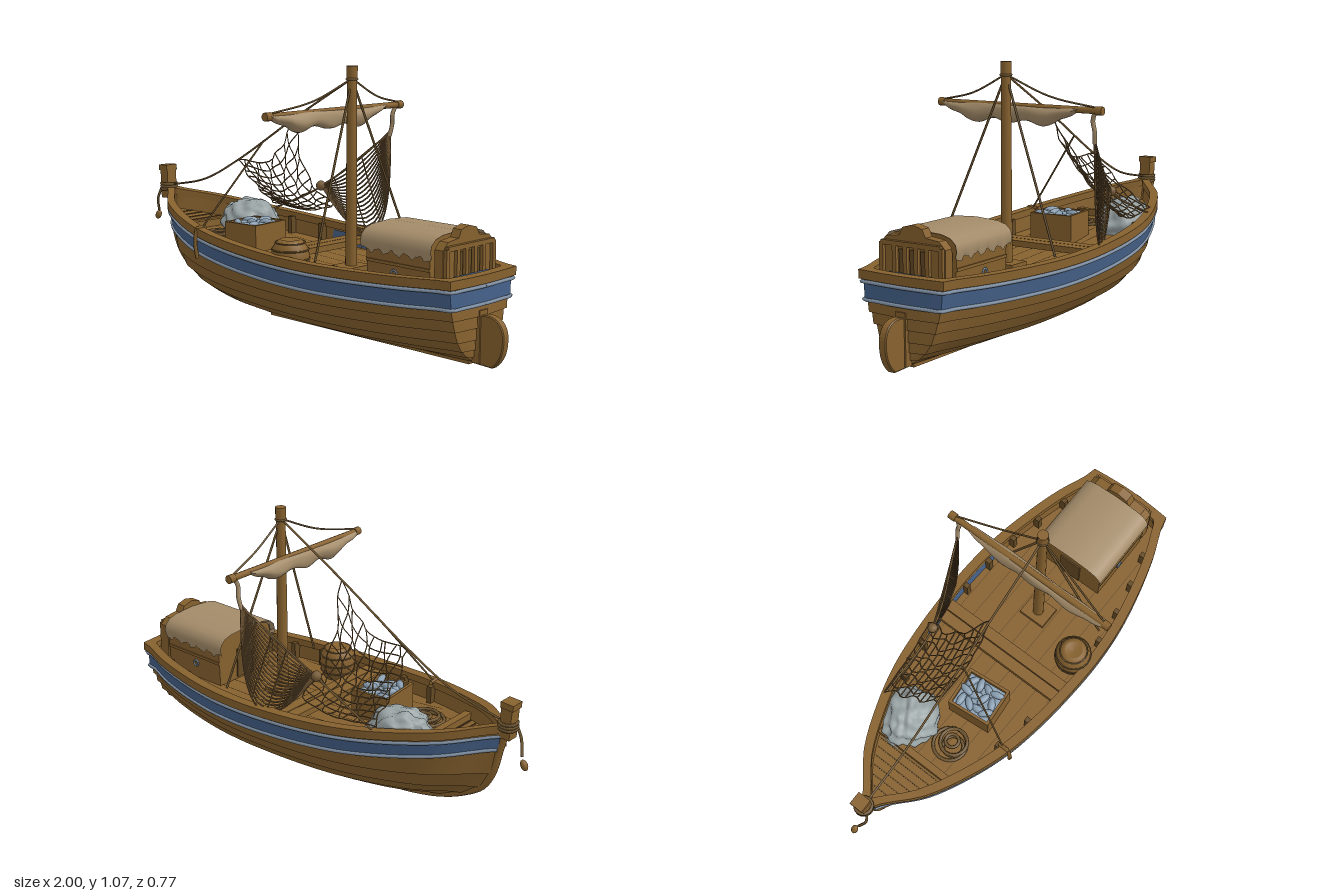
import * as THREE from 'three';
import { toCreasedNormals, mergeGeometries } from 'three/addons/utils/BufferGeometryUtils.js';

const V = (x, y, z) => new THREE.Vector3(x, y, z);
const mat = (name, color) => {
  const m = new THREE.MeshStandardMaterial({ color, side: THREE.DoubleSide });
  m.name = name;
  return m;
};

export function createModel() {
  const wood = mat('wood', 0x86612e), dark = mat('dark wood', 0x644a24);
  const blue = mat('blue paint', 0x446088), pale = mat('pale trim', 0x8394a8);
  const canvas = mat('canvas', 0xa38b69), grey = mat('grey net', 0x99a3a4);
  const fishMat = mat('fish', 0x8a9fb2), rope = mat('rope', 0x6e5530), cord = mat('net cord', 0x795d39);
  const boat = new THREE.Group();
  boat.name = 'fishingBoat';

  const add = (name, geo, m, x = 0, y = 0, z = 0, parent = boat) => {
    const mesh = new THREE.Mesh(geo, m);
    mesh.name = name;
    mesh.position.set(x, y, z);
    parent.add(mesh);
    return mesh;
  };
  const box = (name, m, w, h, d, x, y, z, parent) => add(name, new THREE.BoxGeometry(w, h, d), m, x, y, z, parent);
  const tubeGeo = (pts, r, seg = 12, sides = 5) => new THREE.TubeGeometry(new THREE.CatmullRomCurve3(pts), seg, r, sides);
  const tube = (name, m, pts, r, seg, sides) => add(name, tubeGeo(pts, r, seg, sides), m);
  // Surface through a list of equally long point paths
  const loft = (paths, crease = 0.5) => {
    const n = paths[0].length, idx = [];
    for (let i = 0; i < paths.length - 1; i++) for (let j = 0; j < n - 1; j++) {
      const a = i * n + j, b = a + n;
      idx.push(a, a + 1, b, b, a + 1, b + 1);
    }
    const g = new THREE.BufferGeometry().setFromPoints(paths.flat());
    g.setIndex(idx);
    return toCreasedNormals(g, crease);
  };

  // Plank edges: mid height, mid half width, stem x, stem y
  const rows = [[.014, .025, -.2, .014], [.034, .1, -.45, .04], [.062, .175, -.62, .08], [.1, .235, -.72, .125],
    [.145, .275, -.8, .18], [.188, .302, -.845, .255], [.23, .325, -.872, .365], [.3, .34, -.89, .43], [.333, .342, -.9, .47]];
  const fullness = new THREE.SplineCurve([.03, .43, .68, .85, .94, .985, 1, .965, .87, .73, .54].map((w, i) => new THREE.Vector2(i, w)));
  // Point on the hull; u 0..1 runs bow to stern, 1..2 wraps round the transom
  const P = (r, u, s = 1, inset = 0, dy = 0) => {
    const i = Math.min(Math.floor(r), 7), f = r - i;
    const [ym, w, sx, sy] = rows[i].map((v, k) => v + (rows[i + 1][k] - v) * f);
    const c = Math.min(u, 1), k = Math.max(u - 1, 0);
    const x = sx + (0.855 + r * 0.0042 - sx) * c + 0.012 * Math.sin(k * Math.PI / 2);
    const y = ym + (sy - ym) * (1 - c) ** 3 + 0.003 * (r / 8) * c ** 4;
    const taper = 1 - 0.2 * (1 - r / 8) * c ** 6;
    const z = Math.max(w * taper * fullness.getPoint(c).y - inset, 0) * (1 - k);
    return V(x - (u >= 1 ? inset : 0), y + dy, s * z);
  };
  const us = [...Array.from({ length: 41 }, (_, i) => i / 40), 1.35, 1.7, 2];
  const line = (r, s, inset, dy) => us.map(u => P(r, u, s, inset, dy));
  const railY = x => P(8, (x + .9) / 1.8).y;
  const deckY = x => railY(x) - 0.08;
  const halfW = x => P(8, (x + .9) / 1.8).z;

  for (const s of [1, -1]) {
    // Overlapping planks, each stepping out over the one below
    for (let r = 0; r < 8; r++)
      add(r === 6 ? 'blueStripe' : 'hullPlank', loft([line(r, s, 0.004), line(r, s, -0.008), line(r + 1, s, 0)]), r === 6 ? blue : wood);
    for (const [r, inset] of [[6.05, -.009], [7, -.007]]) add('stripeTrim', tubeGeo(line(r, s, inset), 0.007, 90), pale);
    // Gunwale cap, inner lining and deck
    const cap = [[-.009, -.024], [-.009, .01], [.032, .01], [.032, -.02]].map(([i, d]) => line(8, s, i, d));
    add('gunwale', loft([...cap, cap[0]], 0.4), wood);
    add('innerLining', loft([line(8, s, .022), line(8, s, .03, -.085)]), wood);
    const edge = us.slice(1).map(u => P(8, u, s, .022, -.08));
    add('deck', loft([edge, edge.map(p => V(p.x, p.y, 0))]), wood);
    // Ribs against the bulwark
    for (const x of [-.36, -.2, .12, .27, .42, .56, .7])
      box('rib', dark, .022, .075, .03, x, railY(x) - .045, s * (halfW(x) - .04));
  }
  const inner = Array.from({ length: 12 }, (_, i) => .42 + i * .025);
  add('innerBluePanel', loft([inner.map(u => P(8, u, -1, .03, -.025)), inner.map(u => P(8, u, -1, .034, -.075))]), blue);
  box('sternBluePanel', blue, .026, .008, .2, .848, .335, 0);

  // Deck seams
  for (let k = -4; k <= 4; k++) {
    const xs = Array.from({ length: 60 }, (_, i) => -.6 + i * .025).filter(x => x < .84 && halfW(x) - .05 > Math.abs(k * .07));
    add('deckSeam', loft([-.0015, .0015].map(d => xs.map(x => V(x, deckY(x) + .003, k * .07 + d)))), dark);
  }
  for (let x = -.8; x < -.6; x += .035) box('foredeckSeam', dark, .004, .004, 2 * halfW(x) - .07, x, deckY(x) + .002, 0);
  box('foredeckBeam', wood, .03, .03, 2 * halfW(-.6) - .06, -.6, deckY(-.6) + .015, 0);
  for (const x of [-.04, .012]) box('thwart', wood, .048, .025, 2 * halfW(x) - .05, x, .31, 0);

  // Keel, stem and rudder
  box('keel', wood, 1.06, .024, .04, .32, .013, 0);
  tube('stem', wood, rows.map(r => V(r[2], Math.max(r[3], .018), 0)), .017, 40, 8);
  box('stemPost', wood, .048, .14, .05, -.905, .495, 0).rotation.z = .05;
  box('stemPostCap', wood, .056, .025, .058, -.91, .562, 0).rotation.z = .05;
  for (let i = 0; i < 3; i++) add('stemLashing', new THREE.TorusGeometry(.034, .007, 5, 14), rope, -.903, .465 + i * .012, 0).rotation.x = Math.PI / 2;
  tube('hangingLine', rope, [V(-.92, .47, .03), V(-.94, .42, .035), V(-.965, .36, .01)], .006);
  const float = add('lineFloat', new THREE.SphereGeometry(.014, 10, 8), wood, -.982, .335, 0);
  float.scale.set(1, 1.6, 1);
  float.rotation.z = -.5;
  const blade = new THREE.Shape();
  blade.moveTo(.86, .012);
  blade.lineTo(.95, .008);
  blade.bezierCurveTo(.99, .04, 1, .08, .998, .13);
  blade.bezierCurveTo(.99, .19, .94, .2, .9, .19);
  blade.lineTo(.86, .19);
  add('rudder', new THREE.ExtrudeGeometry(blade, { depth: .026, bevelSize: .004, bevelThickness: .004, bevelSegments: 1 }), wood, 0, 0, -.013);
  box('rudderPost', wood, .035, .2, .046, .882, .112, 0);

  // Mast and yard
  add('mast', new THREE.CylinderGeometry(.019, .024, .8, 14), wood, .235, .655, 0);
  add('mastHead', new THREE.CylinderGeometry(.022, .022, .05, 14), wood, .235, 1.045, 0);
  box('mastStep', wood, .1, .03, .12, .235, .265, 0);
  add('mastBand', new THREE.TorusGeometry(.021, .005, 5, 14), rope, .235, 1.018, 0).rotation.x = Math.PI / 2;
  const yard = add('yard', new THREE.CylinderGeometry(.013, .013, .77, 10), wood, .15, .89, 0);
  yard.rotation.x = Math.PI / 2;
  for (const s of [1, -1]) {
    add('yardEnd', new THREE.CylinderGeometry(.017, .017, .03, 10), wood, .15, .89, s * .372).rotation.x = Math.PI / 2;
  }

  // Furled sail, bulging between its ties
  const sail = Array.from({ length: 57 }, (_, i) => {
    const t = i / 56, z = .37 - t * .65;
    const env = Math.min(1, Math.sin(t * Math.PI) ** .8 * 1.5 + .08);
    const h = env * (.035 + .0055 * Math.cos(t * Math.PI * 8) + .0015 * Math.sin(t * 23));
    return Array.from({ length: 15 }, (_, j) => {
      const a = j / 14 * Math.PI * 2, fold = 1 + .08 * Math.sin(a * 4 + t * 9);
      return V(.15 + Math.cos(a) * (.014 + h * .42) * fold, .897 - h + Math.sin(a) * h * fold, z);
    });
  });
  add('furledSail', loft(sail, 1), canvas);
  tube('sailTail', canvas, [V(.15, .88, -.35), V(.145, .85, -.34), V(.14, .81, -.345), V(.13, .76, -.34)], .009, 12, 7);

  // Rigging
  const top = V(.235, 1.02, 0), bow = V(-.88, .485, 0);
  tube('forestay', rope, [top, V(-.09, .84, 0), V(-.43, .64, 0), V(-.65, .535, 0), bow], .0045, 30);
  for (const s of [1, -1]) {
    tube('shroud', rope, [top, V(.3, .34, s * .27)], .005, 4);
    tube('yardLift', rope, [top, V(.2, .94, s * .18), V(.15, .9, s * .37)], .004);
  }
  tube('sideStay', rope, [V(-.27, .735, 0), V(-.36, .38, .275)], .004, 4);
  tube('netHaulLine', rope, [V(.13, .77, -.34), V(-.16, .53, -.24), V(-.46, .4, -.25)], .0045);
  tube('fenderLine', wood, [V(-.36, .385, .25), V(-.36, .39, .29), V(-.36, .33, .305), V(-.355, .265, .3)], .009);

  // Hanging net: a mesh of thin cords over a patch
  const net = (name, f, nu, nv, r) => {
    const cords = [], pts = (n, g) => Array.from({ length: n + 1 }, (_, i) => g(i / n));
    for (let i = 0; i <= nu; i++) cords.push(tubeGeo(pts(10, v => f(i / nu, v)), r, 18, 4));
    for (let j = 0; j <= nv; j++) cords.push(tubeGeo(pts(10, u => f(u, j / nv)), r, 18, 4));
    add(name, mergeGeometries(cords), cord);
  };
  const A = V(-.43, .64, 0), B = V(-.09, .84, 0), C = V(-.47, .42, -.25), D = V(-.13, .45, -.29);
  net('foreNet', (u, v) => {
    const p = A.clone().lerp(B, u).lerp(C.clone().lerp(D, u), v);
    p.y -= .09 * Math.sin(v * Math.PI) * (.2 + u * .6) + .1 * Math.sin(u ** 1.3 * Math.PI) * (1 - v * .7);
    p.x += .012 * Math.sin(u * 25 + v * 17) - .04 * Math.sin(v * Math.PI) * u;
    return p;
  }, 10, 10, .0028);
  const G = V(-.17, .53, -.24), E = V(.132, .78, -.34);
  net('aftNet', (u, v) => {
    const c = V(-.02, .62, -.29).lerp(V(.15, .04, -.36), v);
    return new THREE.QuadraticBezierCurve3(G, c, E).getPoint(u);
  }, 5, 17, .0036);
  add('netKnot', new THREE.SphereGeometry(.022, 8, 6), cord, G.x, G.y, G.z);

  // Cabin with canvas cover
  const arch = (x, grow, hem) => {
    const half = [[.15, hem], [.156, .425], [.15, .45], [.128, .47], [.09, .481], [0, .487]];
    const pts = [...half, ...half.slice(0, 5).reverse().map(([z, y]) => [-z, y])];
    return pts.map(([z, y]) => V(x, y + grow * .4, z + Math.sign(z) * grow));
  };
  const gable = new THREE.Shape(arch(0, 0, .25).map(p => new THREE.Vector2(-p.z, p.y)));
  const cabin = add('cabin', new THREE.ExtrudeGeometry(gable, { depth: .31, bevelEnabled: false }), wood, .46, 0, 0);
  cabin.rotation.y = Math.PI / 2;
  const cover = Array.from({ length: 37 }, (_, i) =>
    arch(.437 + i * .0096, .01, .395 + .009 * Math.sin(i * .9) + .004 * Math.sin(i * 2.1)));
  add('canvasCover', loft(cover, 1), canvas);
  const front = arch(.438, .01, .41);
  add('canvasFrontFold', loft([front, front.map(p => V(.458, p.y - .012, p.z * .96))]), canvas);
  box('cabinDoor', dark, .006, .13, .1, .457, .33, 0);
  for (const s of [1, -1]) {
    box('cabinSill', wood, .31, .012, .008, .615, .36, s * .155);
    add('cabinRing', new THREE.TorusGeometry(.013, .004, 5, 12), pale, .6, .325, s * .158);
  }

  // Arched backboard with uprights
  const back = new THREE.Shape();
  back.moveTo(-.148, .26);
  for (const [z, y] of [[-.148, .44], [-.12, .468], [-.06, .475], [-.045, .505], [0, .517], [.045, .505], [.06, .475], [.12, .468], [.148, .44], [.148, .26]]) back.lineTo(z, y);
  add('backboard', new THREE.ExtrudeGeometry(back, { depth: .04, bevelEnabled: false }), wood, .785, 0, 0).rotation.y = Math.PI / 2;
  for (const z of [-.135, -.075, -.025, .025, .075, .135]) box('backboardUpright', wood, .014, .18, .018, .832, .355, z);
  box('backboardRail', wood, .016, .018, .27, .832, .445, 0);
  for (const z of [-.05, 0, .05]) box('backboardGap', dark, .006, .15, .018, .827, .35, z);

  // Heap of net, lumpy, kept inside the bulwark and resting on the deck
  const heap = new THREE.SphereGeometry(1, 48, 32), hp = heap.attributes.position;
  for (let i = 0; i < hp.count; i++) {
    const p = new THREE.Vector3().fromBufferAttribute(hp, i);
    p.multiplyScalar(1 + .07 * Math.sin(p.x * 7 + 1) * Math.sin(p.z * 8) + .05 * Math.sin(p.y * 11 + p.x * 9) + .03 * Math.sin(p.z * 19 + p.x * 13));
    const x = p.x * .13 - .49, z = p.z * .12 - .12;
    hp.setXYZ(i, x, Math.max(.345 + p.y * .105, deckY(x)), Math.max(z, .04 - halfW(x)));
  }
  heap.computeVertexNormals();
  add('netHeap', heap, grey);

  // Fish crate
  const crate = new THREE.Group();
  crate.name = 'fishCrate';
  crate.position.set(-.255, .345, .065);
  crate.rotation.y = .1;
  boat.add(crate);
  for (const s of [1, -1]) {
    box('crateEnd', wood, .012, .12, .19, s * .08, 0, 0, crate);
    box('crateSide', wood, .17, .12, .012, 0, 0, s * .09, crate);
  }
  box('crateFill', fishMat, .15, .09, .17, 0, -.005, 0, crate);
  for (let i = 0; i < 12; i++) {
    const f = add('fish', new THREE.SphereGeometry(.02, 8, 6), fishMat, -.045 + (i % 3) * .045, .045 + (i % 2) * .01, -.06 + Math.floor(i / 3) * .04, crate);
    f.scale.set(1.7, .8, .8);
    f.rotation.y = i * 1.3;
  }

  // Round basket and rope coil
  const pot = [[0, 0], [.05, 0], [.07, .04], [.077, .08], [.073, .115], [.058, .142], [.04, .154], [.034, .148], [0, .144]];
  add('basket', new THREE.LatheGeometry(pot.map(p => new THREE.Vector2(...p)), 20), wood, .145, .252, .25);
  for (const [r, y] of [[.071, .297], [.076, .332], [.073, .367], [.058, .394]])
    add('basketHoop', new THREE.TorusGeometry(r, .0035, 5, 20), rope, .145, y, .25).rotation.x = Math.PI / 2;
  for (let i = 0; i < 4; i++)
    add('ropeCoil', new THREE.TorusGeometry(.07 - i * .014, .007, 6, 20), rope, -.47 + (i % 2) * .015, deckY(-.47) + .012 + (i % 2) * .008, .08 + (i % 3) * .008).rotation.x = Math.PI / 2;
  return boat;
}
